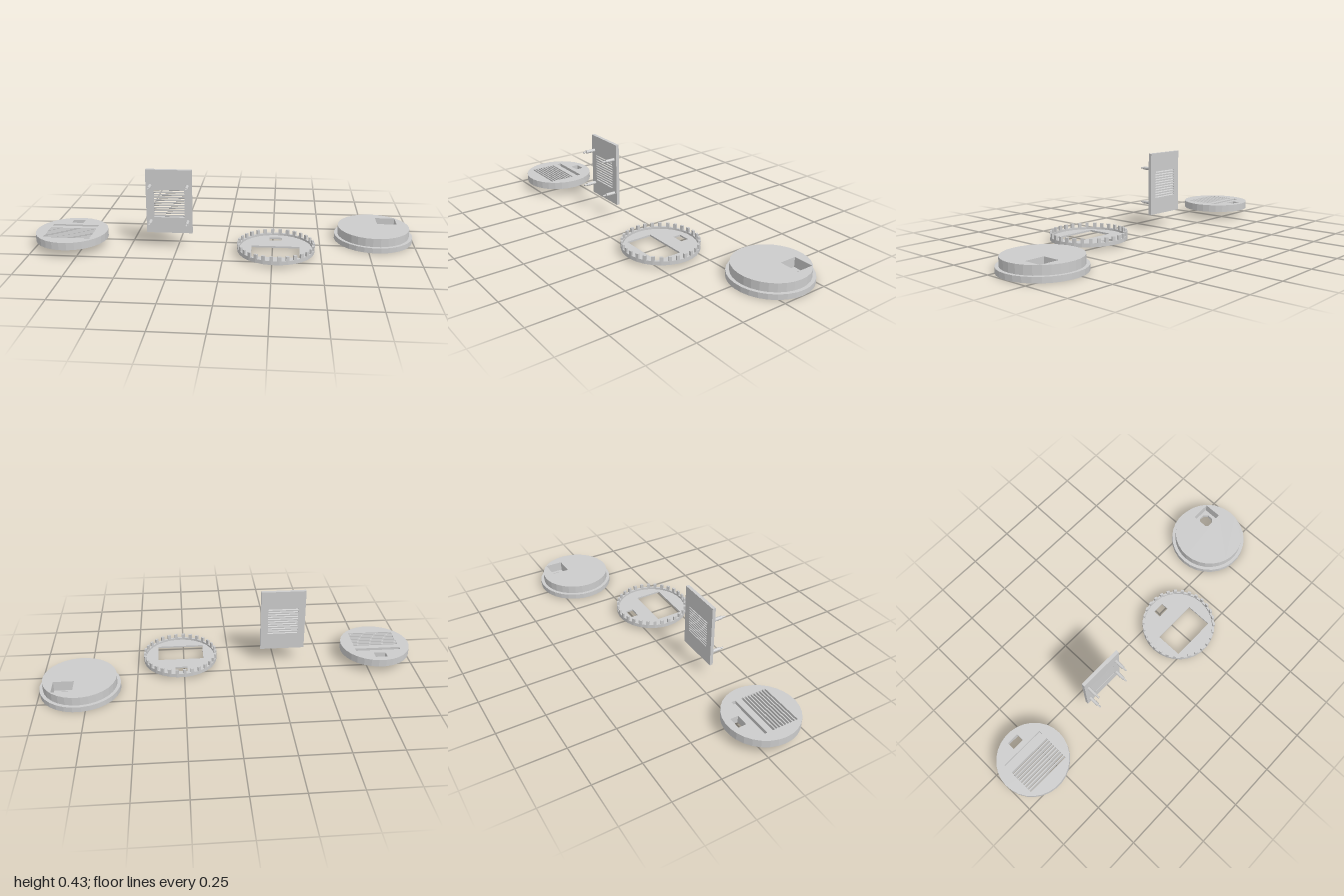
import * as THREE from 'three';

const SIDES = 30;
const material = new THREE.MeshStandardMaterial({ color: 0xcccccc, flatShading: true });

function add(parent, geometry, name) {
  const mesh = new THREE.Mesh(geometry, material);
  mesh.name = name;
  parent.add(mesh);
  return mesh;
}

// Points of a regular polygon in the plan (x, -z)
function circle(r, n = SIDES, from = 0, to = Math.PI * 2) {
  const full = to - from > 6.28;
  return Array.from({ length: full ? n : n + 1 }, (_, i) => {
    const a = from + ((to - from) * i) / n;
    return new THREE.Vector2(r * Math.cos(a), r * Math.sin(a));
  });
}

// Rectangle given by its x and z limits
function rect(x0, x1, z0, z1) {
  return [[x0, -z0], [x0, -z1], [x1, -z1], [x1, -z0]].map(p => new THREE.Vector2(...p));
}

// Horizontal plate between two heights, with optional holes
function plate(outline, holes, y0, y1) {
  const shape = new THREE.Shape(outline);
  shape.holes = holes.map(h => new THREE.Path(h));
  const g = new THREE.ExtrudeGeometry(shape, { depth: y1 - y0, bevelEnabled: false });
  return g.rotateX(-Math.PI / 2).translate(0, y0, 0);
}

function group(parent, name, x, z) {
  const g = new THREE.Group();
  g.name = name;
  g.position.set(x, 0, z);
  parent.add(g);
  return g;
}

function buildVentedDisc(root) {
  const g = group(root, 'ventedDisc', -0.812, 0.093);
  const port = rect(-0.034, 0.03, -0.152, -0.109);
  const groove = rect(-0.124, 0.122, -0.081, -0.058);
  const slots = [];
  const count = 9, pitch = 0.148 / count;
  for (let i = 0; i < count; i++) {
    const z = -0.027 + i * pitch;
    slots.push(rect(-0.124, 0.122, z, z + pitch * 0.62));
  }
  add(g, plate(circle(0.189), [port, ...slots], 0.043, 0.063), 'discLower');
  add(g, plate(circle(0.189), [port, groove, ...slots], 0.063, 0.083), 'discUpper');
}

function buildPanel(root) {
  const g = group(root, 'louverPanel', -0.29, 0.084);
  // Upright frame around the louver opening
  const shape = new THREE.Shape(rect(-0.12, 0.12, -0.425, -0.083));
  shape.holes.push(new THREE.Path(rect(-0.081, 0.081, -0.323, -0.168)));
  const frame = new THREE.ExtrudeGeometry(shape, { depth: 0.018, bevelEnabled: false });
  add(g, frame.translate(0, 0, -0.009), 'panelFrame');

  // Slanted slats, sheared so that their ends stay flush with the faces
  const count = 11, pitch = 0.155 / count;
  for (let i = 0; i < count; i++) {
    const slat = new THREE.BoxGeometry(0.162, pitch * 0.55, 0.018);
    const p = slat.attributes.position;
    for (let k = 0; k < p.count; k++) p.setY(k, p.getY(k) + p.getZ(k) * 0.4);
    slat.computeVertexNormals();
    add(g, slat, 'louverSlat').position.y = 0.168 + (i + 0.5) * pitch;
  }

  // Stepped mounting pegs at the four corners of the louver
  for (const x of [-0.097, 0.097]) {
    for (const y of [0.147, 0.339]) {
      const peg = new THREE.CylinderGeometry(0.009, 0.009, 0.053, 16).rotateX(Math.PI / 2);
      add(g, peg, 'mountingPeg').position.set(x, y, 0.0355);
      const tip = new THREE.CylinderGeometry(0.0045, 0.0045, 0.02, 16).rotateX(Math.PI / 2);
      add(g, tip, 'pegTip').position.set(x, y, 0.072);
    }
  }
}

function buildToothedTray(root) {
  const g = group(root, 'toothedTray', 0.268, 0.125);
  const port = rect(-0.035, 0.03, -0.152, -0.109);
  const opening = rect(-0.126, 0.122, -0.028, 0.116);
  add(g, plate(circle(0.2), [port, opening], 0.017, 0.026), 'trayFloor');
  add(g, plate(circle(0.2), [circle(0.189)], 0.026, 0.037), 'trayWall');

  // Ring of snap teeth
  const half = (Math.PI / SIDES) * 0.42;
  const outline = [...circle(0.2, 2, -half, half), ...circle(0.189, 2, -half, half).reverse()];
  const tooth = plate(outline, [], 0.037, 0.06);
  for (let i = 0; i < SIDES; i++) {
    add(g, tooth, 'tooth').rotation.y = (i / SIDES) * Math.PI * 2;
  }
}

function buildBase(root) {
  const g = group(root, 'flangedBase', 0.791, -0.118);
  const pocket = rect(0.025, 0.131, -0.133, -0.037);
  // Cable hole: a square with cut corners
  const hole = circle(0.038, 8, Math.PI / 8, Math.PI * 2 + Math.PI / 8)
    .map(p => p.add(new THREE.Vector2(0.078, 0.084)));
  add(g, plate(circle(0.209), [hole], 0, 0.02), 'flangeFloor');
  add(g, plate(circle(0.209), [pocket], 0.02, 0.028), 'flangeTop');
  add(g, plate(circle(0.191), [pocket], 0.028, 0.073), 'baseDrum');
}

export function createModel() {
  const root = new THREE.Group();
  root.name = 'ventEnclosureParts';
  buildVentedDisc(root);
  buildPanel(root);
  buildToothedTray(root);
  buildBase(root);
  return root;
}
